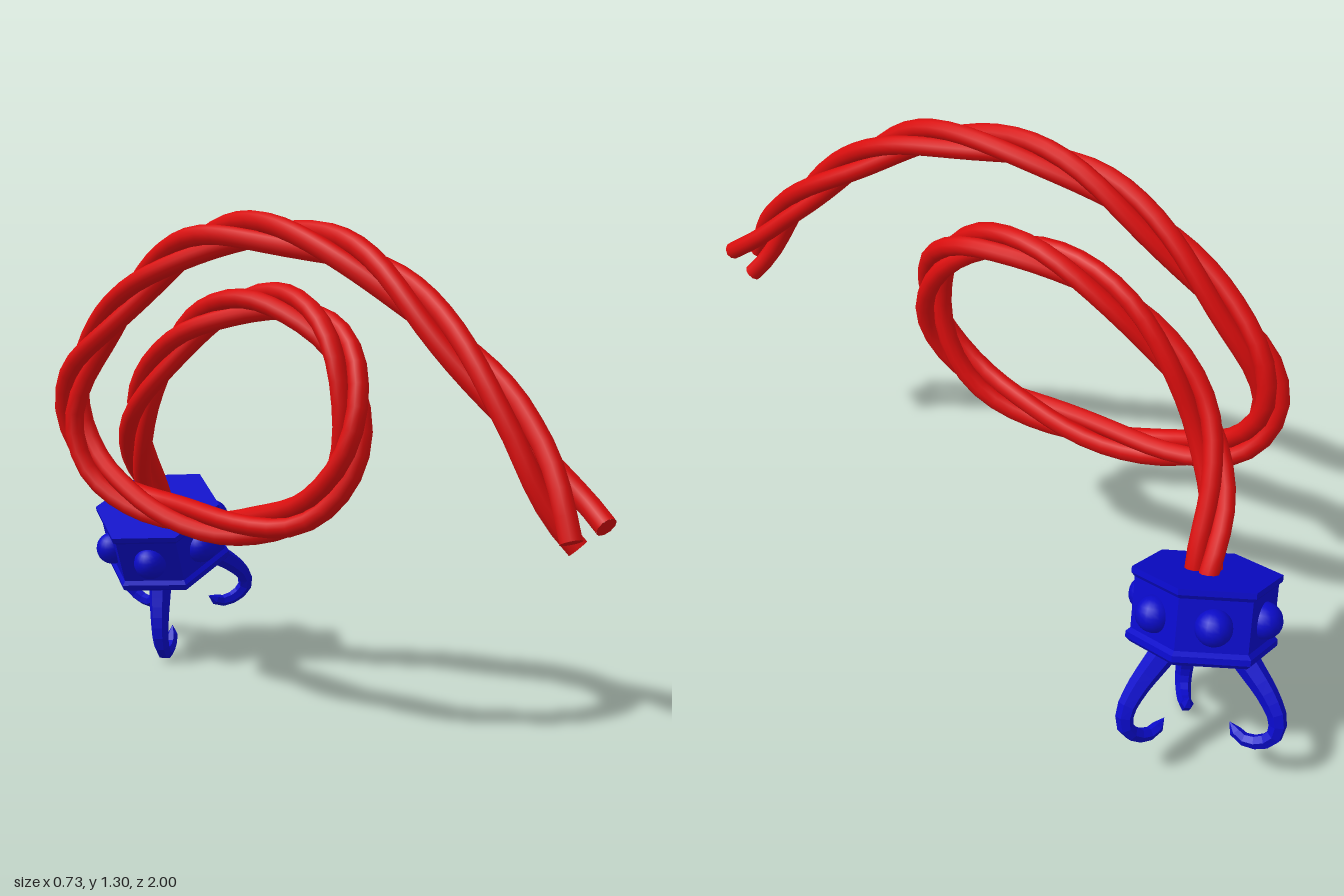
import * as THREE from 'three';

const red = new THREE.MeshStandardMaterial({ color: 0xd90d0d });
const blue = new THREE.MeshStandardMaterial({ color: 0x0a0ac8 });
const blueFlat = new THREE.MeshStandardMaterial({ color: 0x0a0ac8, flatShading: true });
const V = (x, y, z) => new THREE.Vector3(x, y, z);

function add(parent, name, geometry, material) {
  const mesh = new THREE.Mesh(geometry, material);
  mesh.name = name;
  parent.add(mesh);
  return mesh;
}

// Centre line of the rope: long arc, one loop, then down into the hub
const ropePath = new THREE.CatmullRomCurve3([
  V(-0.29, 0.64, 0.945), V(-0.285, 0.87, 0.76), V(-0.285, 1.05, 0.56), V(-0.285, 1.185, 0.35),
  V(-0.285, 1.245, 0.1), V(-0.285, 1.235, -0.15), V(-0.285, 1.145, -0.36), V(-0.285, 1.0, -0.55),
  V(-0.28, 0.86, -0.68), V(-0.275, 0.74, -0.705), V(-0.265, 0.62, -0.64), V(-0.255, 0.55, -0.5),
  V(-0.245, 0.515, -0.3), V(-0.235, 0.52, -0.1), V(-0.22, 0.57, 0.09), V(-0.205, 0.67, 0.19),
  V(-0.19, 0.79, 0.225), V(-0.165, 0.94, 0.18), V(-0.145, 1.035, 0.07), V(-0.135, 1.075, -0.13),
  V(-0.14, 1.01, -0.35), V(-0.145, 0.89, -0.5), V(-0.135, 0.76, -0.6), V(-0.07, 0.61, -0.675),
  V(0.02, 0.47, -0.71), V(0.05, 0.4, -0.72),
]);

// Three strands twisted round the centre line, splayed at the free end
function buildRope() {
  const rope = new THREE.Group();
  rope.name = 'rope';
  const steps = 76, turns = 5, radius = 0.025;
  const frames = ropePath.computeFrenetFrames(steps, false);
  for (let k = 0; k < 3; k++) {
    const points = [];
    for (let i = 0; i <= steps; i++) {
      const t = i / steps;
      const angle = (k / 3 + t * turns) * Math.PI * 2;
      const offset = 0.027 + 0.023 * Math.max(0, 1 - t / 0.05);
      points.push(ropePath.getPointAt(t)
        .addScaledVector(frames.normals[i], Math.cos(angle) * offset)
        .addScaledVector(frames.binormals[i], Math.sin(angle) * offset));
    }
    const curve = new THREE.CatmullRomCurve3(points);
    add(rope, 'strand', new THREE.TubeGeometry(curve, 90, radius, 10), red);
    const cap = add(rope, 'strandEnd', new THREE.CircleGeometry(radius, 10), red);
    cap.position.copy(points[0]);
    cap.lookAt(points[0].clone().sub(curve.getTangentAt(0)));
  }
  return rope;
}

// Hooked claw in the XY plane: a six-sided tube whose rings taper to the tip
function clawGeometry() {
  const curve = new THREE.CatmullRomCurve3([
    V(0.085, -0.165, 0), V(0.135, -0.22, 0), V(0.182, -0.275, 0), V(0.212, -0.33, 0),
    V(0.208, -0.372, 0), V(0.172, -0.398, 0), V(0.125, -0.398, 0), V(0.092, -0.365, 0),
  ]);
  const steps = 14, sides = 6;
  const geometry = new THREE.TubeGeometry(curve, steps, 1, sides);
  const pos = geometry.attributes.position;
  const p = new THREE.Vector3();
  for (let i = 0; i <= steps; i++) {
    const t = i / steps;
    const size = i === steps ? 0 : 0.015 + 0.022 * (1 - t) ** 1.3;
    const centre = curve.getPointAt(t);
    for (let j = 0; j <= sides; j++) {
      const n = i * (sides + 1) + j;
      p.fromBufferAttribute(pos, n).sub(centre).multiplyScalar(size).add(centre);
      pos.setXYZ(n, p.x, p.y, p.z);
    }
  }
  geometry.computeVertexNormals();
  return geometry;
}

// Hexagonal hub with rims, a dome on each face and three claws below
function buildGrabber() {
  const grabber = new THREE.Group();
  grabber.name = 'grabber';
  const profile = [
    [0, -0.19], [0.176, -0.19], [0.187, -0.18], [0.187, -0.165], [0.176, -0.155],
    [0.176, -0.025], [0.185, -0.015], [0.185, 0], [0, 0],
  ].map(([r, y]) => new THREE.Vector2(r, y));
  add(grabber, 'hub', new THREE.LatheGeometry(profile, 6, Math.PI / 6), blueFlat);

  const dome = new THREE.SphereGeometry(0.046, 18, 12);
  for (let i = 0; i < 6; i++) {
    const a = Math.PI / 6 + i * Math.PI / 3;
    add(grabber, 'dome', dome, blue).position.set(Math.cos(a) * 0.153, -0.092, Math.sin(a) * 0.153);
  }

  const claw = clawGeometry();
  for (let i = 0; i < 3; i++) {
    add(grabber, 'claw', claw, blueFlat).rotation.y = Math.PI / 2 + i * Math.PI * 2 / 3;
  }

  // Hang the hub at the rope end, tilted along its own axis
  const up = V(-0.38, 0.91, 0.17).normalize();
  const side = V(0.91, 0.38, 0).normalize();
  const front = new THREE.Vector3().crossVectors(side, up);
  grabber.quaternion.setFromRotationMatrix(new THREE.Matrix4().makeBasis(side, up, front));
  grabber.position.set(0.03, 0.455, -0.72);
  return grabber;
}

export function createModel() {
  const model = new THREE.Group();
  model.name = 'ropeGrabber';
  model.add(buildRope(), buildGrabber());
  return model;
}
